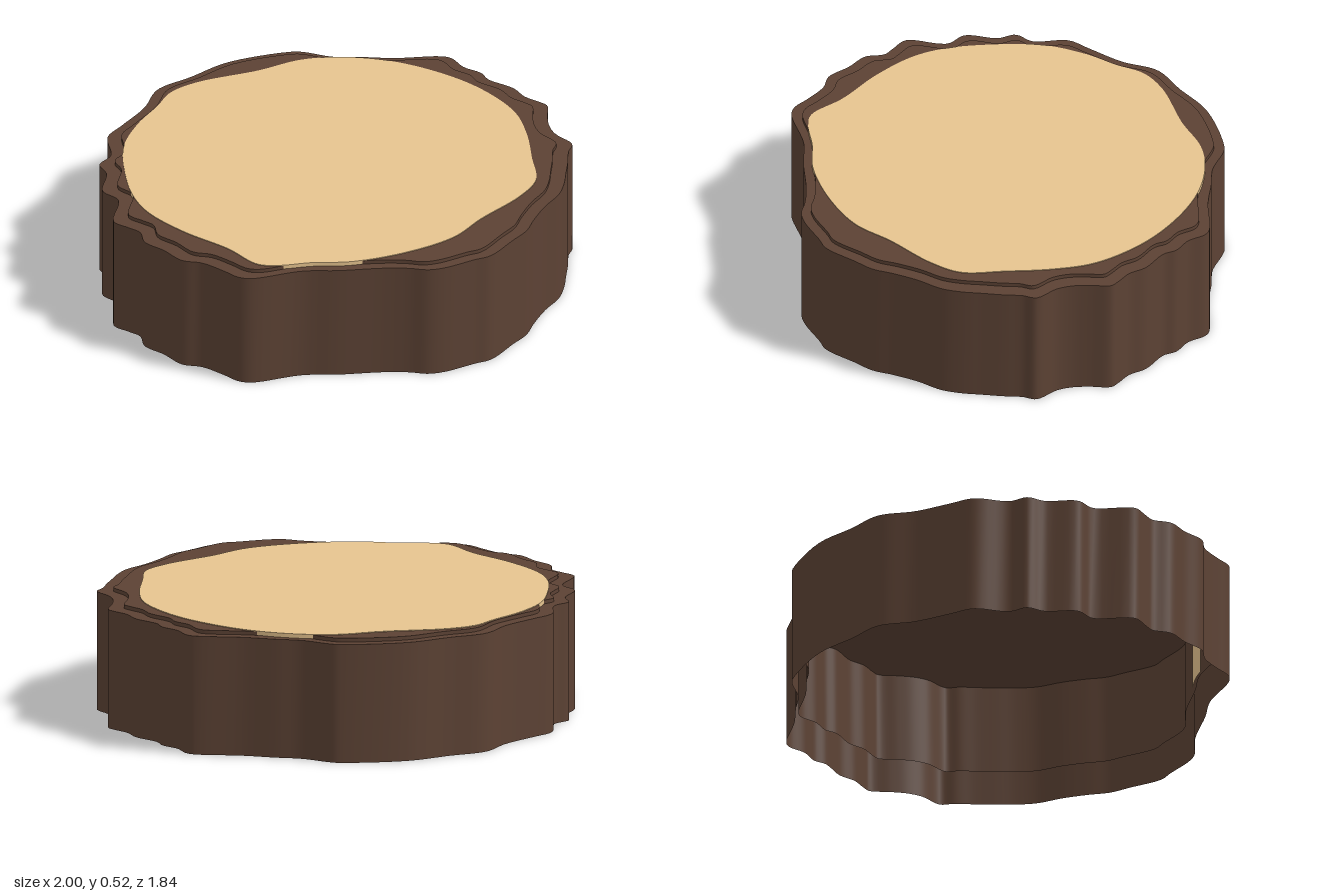
import * as THREE from 'three';

// Outlines as x, z pairs, running back -> left -> front -> right
const BARK = [
  -0.10, -0.92, 0.18, -0.90, 0.22, -0.88, 0.32, -0.80, 0.42, -0.76, 0.55, -0.70, 0.74, -0.64,
  0.77, -0.61, 0.79, -0.53, 0.84, -0.46, 0.85, -0.40, 0.92, -0.30, 0.94, -0.22, 0.98, -0.16,
  1.0, -0.12, 0.97, -0.04, 0.95, 0.03, 0.95, 0.10, 0.985, 0.20, 0.95, 0.25, 0.92, 0.32,
  0.88, 0.40, 0.84, 0.48, 0.79, 0.55, 0.70, 0.62, 0.62, 0.70, 0.56, 0.77, 0.48, 0.82,
  0.35, 0.90, 0.28, 0.905, 0.14, 0.92, 0.07, 0.91, 0, 0.87, -0.10, 0.83, -0.28, 0.78,
  -0.42, 0.73, -0.63, 0.71, -0.68, 0.68, -0.72, 0.61, -0.78, 0.52, -0.85, 0.47, -0.89, 0.37,
  -0.94, 0.28, -0.93, 0.20, -0.96, 0.15, -1.0, 0.08, -0.92, -0.07, -0.955, -0.16,
  -0.89, -0.28, -0.89, -0.36, -0.82, -0.41, -0.78, -0.55, -0.69, -0.615, -0.555, -0.71,
  -0.45, -0.825, -0.29, -0.866,
];
const WOOD = [
  -0.29, -0.79, -0.02, -0.785, 0.17, -0.80, 0.33, -0.763, 0.50, -0.668, 0.66, -0.51, 0.78, -0.32,
  0.845, -0.10, 0.83, 0.08, 0.78, 0.27, 0.73, 0.44, 0.62, 0.535, 0.41, 0.64, 0.25, 0.735,
  0.03, 0.775, -0.21, 0.763, -0.37, 0.71, -0.50, 0.682, -0.58, 0.64, -0.65, 0.48, -0.77, 0.29,
  -0.85, 0.10, -0.862, -0.05, -0.825, -0.24, -0.755, -0.43, -0.64, -0.57, -0.51, -0.675, -0.42, -0.755,
];

// Smooth closed loop through an outline
function loop(flat, count, scaleX = 1, scaleZ = 1) {
  const pts = [];
  for (let i = 0; i < flat.length; i += 2) pts.push(new THREE.Vector3(flat[i] * scaleX, 0, flat[i + 1] * scaleZ));
  return new THREE.CatmullRomCurve3(pts, true, 'centripetal').getPoints(count).slice(0, count);
}

// Vertical wall along a line of points
function wall(pts, y0, y1, closed = true) {
  const pos = [], index = [], n = pts.length;
  for (const p of pts) pos.push(p.x, y0, p.z, p.x, y1, p.z);
  for (let i = 0; i < (closed ? n : n - 1); i++) {
    const a = 2 * i, b = 2 * ((i + 1) % n);
    index.push(a, a + 1, b, b, a + 1, b + 1);
  }
  const g = new THREE.BufferGeometry();
  g.setAttribute('position', new THREE.Float32BufferAttribute(pos, 3));
  g.setIndex(index);
  g.computeVertexNormals();
  return g;
}

// Flat face looking up, optionally with a hole
function cap(pts, y, hole) {
  const flat = (list) => list.map((p) => new THREE.Vector2(p.x, -p.z));
  const shape = new THREE.Shape(flat(pts));
  if (hole) shape.holes.push(new THREE.Path(flat(hole)));
  return new THREE.ShapeGeometry(shape).rotateX(-Math.PI / 2).translate(0, y, 0);
}

export function createModel() {
  const group = new THREE.Group();
  const bark = new THREE.MeshStandardMaterial({ color: 0x5c4234, side: THREE.DoubleSide });
  bark.name = 'bark brown';
  const wood = new THREE.MeshStandardMaterial({ color: 0xe6c48f, side: THREE.DoubleSide });
  wood.name = 'cut wood tan';
  const add = (name, geometry, material) => {
    const mesh = new THREE.Mesh(geometry, material);
    mesh.name = name;
    group.add(mesh);
  };

  const outer = loop(BARK, 290);
  const inner = loop(BARK, 290, 0.932, 0.953);
  const core = loop(WOOD, 420);

  // Outer bark: open below, with a rim on top
  add('outerBarkWall', wall(outer, 0, 0.503), bark);
  add('outerBarkRim', cap(outer, 0.503, inner), bark);

  // Inner bark: a shorter shell standing slightly higher, with a ceiling over the hollow
  add('innerBarkWall', wall(inner, 0.12, 0.519), bark);
  add('innerBarkTop', cap(inner, 0.519), bark);
  add('innerBarkCeiling', cap(inner, 0.502), bark);

  // Cut face of the wood
  add('woodEdge', wall(core, 0.504, 0.522), wood);
  add('woodTop', cap(core, 0.522), wood);

  // Bare wood strips on the hollow inside
  for (const [from, to] of [[0.25, 0.47], [-0.99, -0.95]]) {
    const pts = core
      .filter((p) => p.z - p.x > 0.4 && p.x + p.z > from && p.x + p.z < to)
      .map((p) => p.clone().multiplyScalar(0.975))
      .reverse();
    add('innerWoodStrip', wall(pts, 0.12, 0.502, false), wood);
  }
  return group;
}
